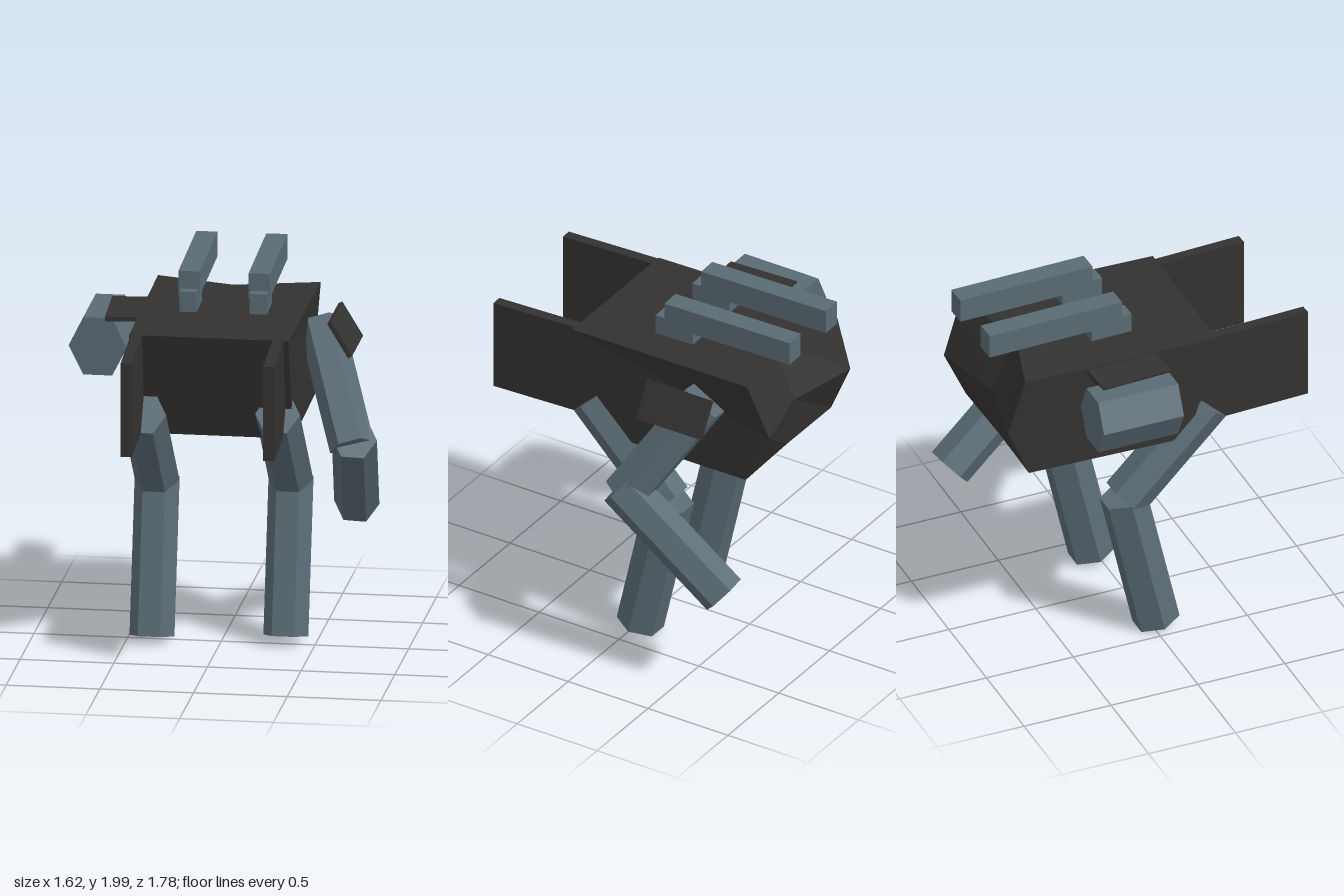
import * as THREE from 'three';

const dark = new THREE.MeshStandardMaterial({ color: 0x333230, flatShading: true });
const slate = new THREE.MeshStandardMaterial({ color: 0x5a6b75, flatShading: true });

function add(group, name, geometry, material, position = [0, 0, 0], rotation = [0, 0, 0]) {
  const mesh = new THREE.Mesh(geometry, material);
  mesh.name = name;
  mesh.position.set(...position);
  mesh.rotation.set(...rotation);
  group.add(mesh);
  return mesh;
}

// Six-sided limb from a to b, with two of its corners kept towards the sides
function addLimb(group, name, a, b, width = 0.12, depth = 0.127) {
  const start = new THREE.Vector3(...a), end = new THREE.Vector3(...b);
  const y = end.clone().sub(start);
  const geometry = new THREE.CylinderGeometry(1, 1, y.length(), 6, 1, false, Math.PI / 6);
  geometry.scale(width, 1, depth);
  y.normalize();
  const x = new THREE.Vector3(1, 0, 0).addScaledVector(y, -y.x).normalize();
  const z = x.clone().cross(y);
  geometry.applyMatrix4(new THREE.Matrix4().makeBasis(x, y, z));
  const middle = start.add(end).multiplyScalar(0.5);
  add(group, name, geometry, slate, middle.toArray());
}

// Hull lofted across x; each section is a pentagon with a notch in the middle at the back
function hullGeometry() {
  // [x, y, z]: front top, back top, back ridge, back bottom, front bottom
  const sections = [
    [[-0.44, 1.77, 0.35], [-0.45, 1.785, -0.755], [-0.44, 1.48, -0.85], [-0.44, 1.2, -0.73], [-0.45, 1.19, 0.19]],
    [[-0.02, 1.77, 0.35], [-0.03, 1.785, -0.63], [-0.02, 1.48, -0.765], [-0.02, 1.19, -0.72], [-0.02, 1.19, 0.19]],
    [[0.41, 1.77, 0.35], [0.42, 1.785, -0.75], [0.38, 1.48, -0.865], [0.4, 1.19, -0.73], [0.41, 1.19, 0.19]],
  ];
  const n = 5, index = [];
  for (let s = 0; s < 2; s++) {
    for (let i = 0; i < n; i++) {
      const a = s * n + i, b = s * n + (i + 1) % n;
      index.push(a, a + n, b, b, a + n, b + n);
    }
  }
  for (let i = 1; i < n - 1; i++) {
    index.push(0, i, i + 1, 2 * n, 2 * n + i + 1, 2 * n + i);
  }
  const geometry = new THREE.BufferGeometry();
  geometry.setAttribute('position', new THREE.Float32BufferAttribute(sections.flat(2), 3));
  geometry.setIndex(index);
  const flat = geometry.toNonIndexed();
  flat.computeVertexNormals();
  return flat;
}

export function createModel() {
  const model = new THREE.Group();
  model.name = 'walker';

  add(model, 'body', hullGeometry(), dark);

  // Upright plates that reach forward from the front corners
  add(model, 'rightFrontPlate', new THREE.BoxGeometry(0.06, 0.515, 0.68), dark, [-0.392, 1.512, 0.55], [0, 0.05, 0]);
  add(model, 'leftFrontPlate', new THREE.BoxGeometry(0.06, 0.515, 0.63), dark, [0.362, 1.51, 0.53], [0, 0.05, 0]);

  // Twin guns on short mounts
  for (const [side, x, z] of [['right', -0.198, 0.004], ['left', 0.175, -0.004]]) {
    add(model, side + 'Gun', new THREE.BoxGeometry(0.113, 0.135, 0.77), slate, [x, 1.9325, -0.5 + z], [0, 0.025, 0]);
    add(model, side + 'GunMount', new THREE.BoxGeometry(0.092, 0.11, 0.23), slate, [x + 0.01, 1.848, -0.17 + z], [0, 0.025, 0]);
  }

  // Bent legs: thigh runs back to the knee, shin runs forward to the foot
  for (const [side, x, z, y] of [['right', -0.365, 0, 0], ['left', 0.34, -0.065, 0.012]]) {
    addLimb(model, side + 'Thigh', [x, 1.33 + y, 0.33 + z], [x, 0.845 + y, -0.145 + z], 0.12, 0.13);
    addLimb(model, side + 'Shin', [x, 0.86 + y, -0.155 + z], [x, 0.032 + y, 0.033 + z], 0.12, 0.13);
  }

  // Left arm, swept forward to the elbow and then back
  addLimb(model, 'upperArm', [0.455, 1.64, -0.51], [0.675, 1.06, -0.15]);
  addLimb(model, 'forearm', [0.69, 1.11, -0.135], [0.615, 0.59, -0.73]);
  add(model, 'shoulderPlate', new THREE.BoxGeometry(0.215, 0.025, 0.4), dark, [0.6, 1.625, -0.413], [0, 0, -1.026]);

  // Right pod, hung from a thin plate
  const pod = new THREE.CylinderGeometry(1, 1, 0.46, 6, 1, false, Math.PI / 6);
  pod.rotateX(Math.PI / 2);
  pod.scale(0.155, 0.181, 1);
  add(model, 'rightPod', pod, slate, [-0.66, 1.598, -0.23]);
  add(model, 'podPlate', new THREE.BoxGeometry(0.22, 0.025, 0.4), dark, [-0.52, 1.755, -0.193], [0, 0.05, 0.02]);

  return model;
}
